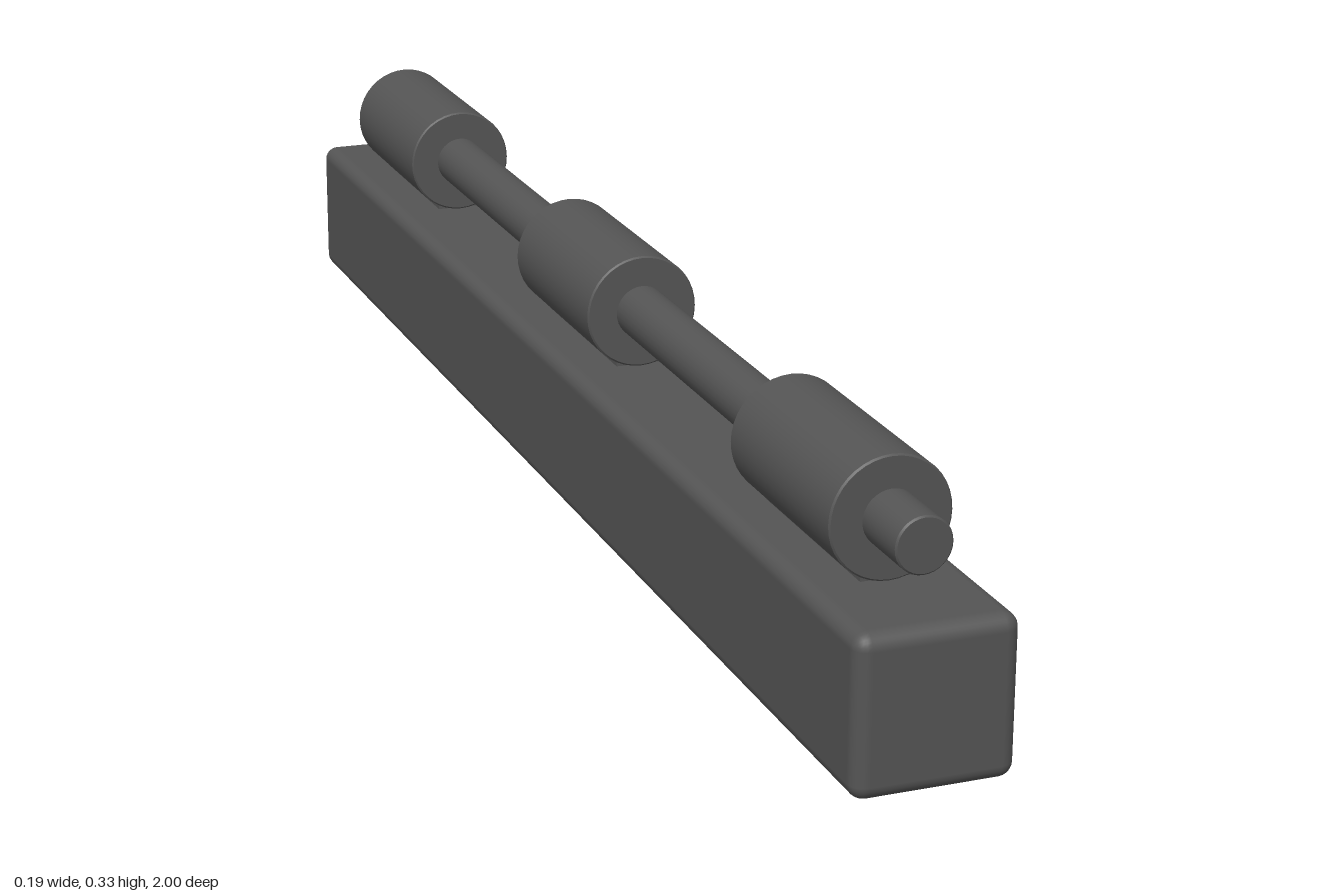
import * as THREE from 'three';
import { RoundedBoxGeometry } from 'three/addons/geometries/RoundedBoxGeometry.js';

const steel = new THREE.MeshStandardMaterial({ color: 0x555555 });
steel.name = 'dark steel';

const BASE_W = 0.187, BASE_H = 0.187, AXIS_Y = 0.258;

function add(parent, name, geometry, x, y, z) {
  const mesh = new THREE.Mesh(geometry, steel);
  mesh.name = name;
  mesh.position.set(x, y, z);
  parent.add(mesh);
  return mesh;
}

// Solid cylinder lying along z, with a tiny chamfer at both ends
function barGeometry(radius, length, segments) {
  const h = length / 2, c = 0.002;
  const caps = [[0, -h], [radius - c, -h], [radius - c, -h], [radius, -h + c], [radius, -h + c],
    [radius, h - c], [radius, h - c], [radius - c, h], [radius - c, h], [0, h]];
  const points = caps.map(([r, y]) => new THREE.Vector2(r, y));
  // Each profile segment is its own lathe strip, so edges stay crisp
  const strips = [];
  for (let i = 0; i < points.length; i += 2) {
    strips.push(new THREE.LatheGeometry([points[i], points[i + 1]], segments).rotateX(Math.PI / 2));
  }
  return strips;
}

function addBar(parent, name, radius, length, z, segments) {
  const bar = new THREE.Group();
  bar.name = name;
  bar.position.set(0, AXIS_Y, z);
  barGeometry(radius, length, segments).forEach((g) => add(bar, name + 'Surface', g, 0, 0, 0));
  parent.add(bar);
}

export function createModel() {
  const model = new THREE.Group();
  model.name = 'hingeRail';

  // Square rail with rounded edges
  add(model, 'baseRail', new RoundedBoxGeometry(BASE_W, BASE_H, 2, 3, 0.018), 0, BASE_H / 2, 0);

  // Long pin running through the knuckles
  addBar(model, 'pin', 0.033, 1.91, 0, 32);

  // Three knuckles, each seated on a narrow pad
  for (const z of [-0.737, 0, 0.737]) {
    addBar(model, 'knuckle', 0.071, 0.272, z, 40);
    add(model, 'knucklePad', new THREE.BoxGeometry(0.06, 0.03, 0.255), 0, 0.195, z);
  }
  return model;
}
